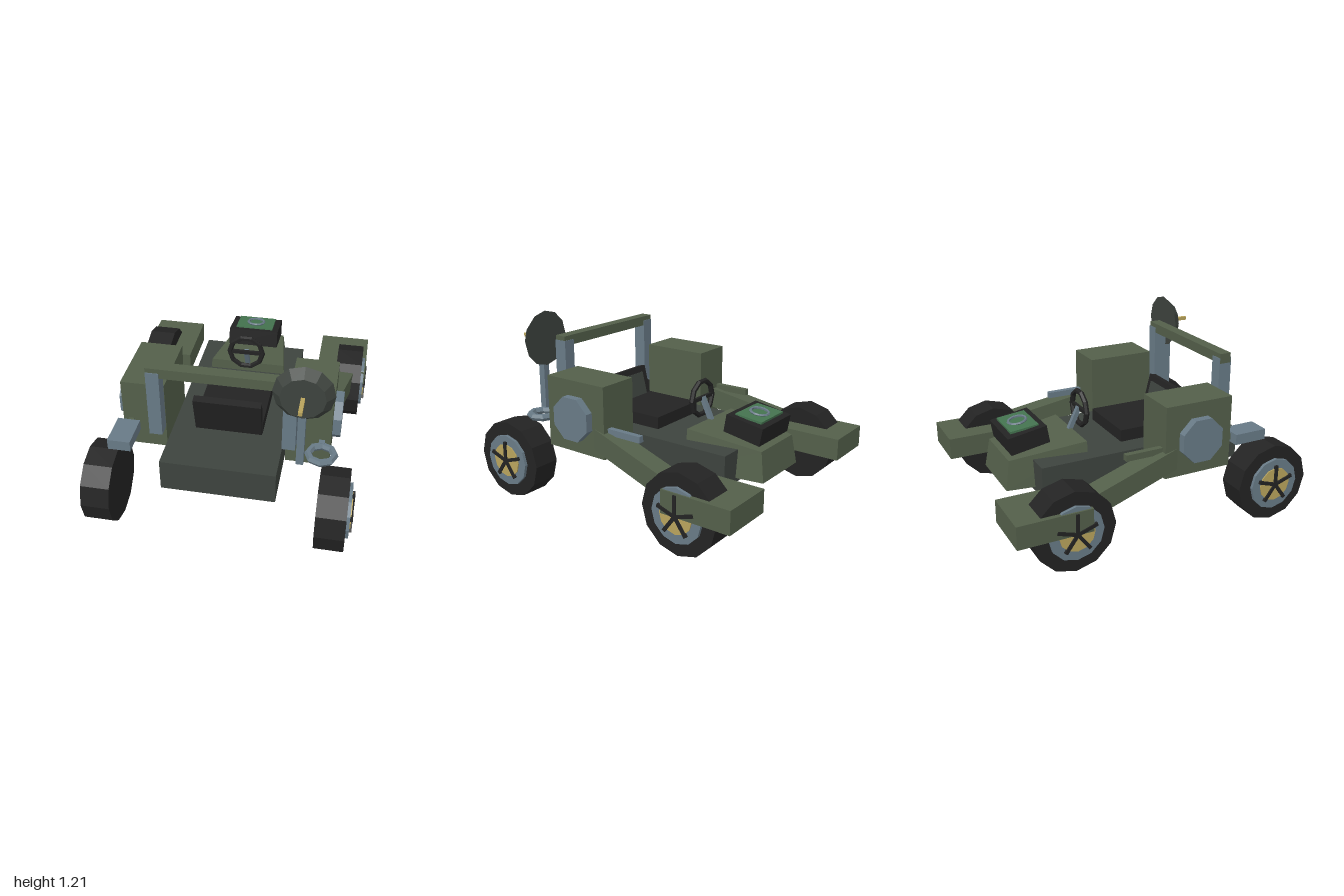
import * as THREE from 'three';

const mat = (name, color) => Object.assign(new THREE.MeshStandardMaterial({ color, flatShading: true }), { name });

export function createModel() {
  const olive = mat('olive paint', 0x535f4a);
  const dark = mat('dark grey green', 0x3d433e);
  const black = mat('black rubber', 0x232323);
  const steel = mat('blue grey steel', 0x687a86);
  const gold = mat('gold metal', 0xb8a35c);
  const green = mat('green screen', 0x44734f);

  const model = new THREE.Group();
  model.name = 'roverBuggy';

  const add = (name, geometry, material, x, y, z, parent = model) => {
    const mesh = new THREE.Mesh(geometry, material);
    mesh.name = name;
    mesh.position.set(x, y, z);
    parent.add(mesh);
    return mesh;
  };
  // Box given by its limits on each axis
  const block = (name, material, [x0, x1], [y0, y1], [z0, z1], parent) =>
    add(name, new THREE.BoxGeometry(x1 - x0, y1 - y0, z1 - z0), material,
      (x0 + x1) / 2, (y0 + y1) / 2, (z0 + z1) / 2, parent);
  // Box beam running between two points
  const beam = (name, material, from, to, w, h) => {
    const a = new THREE.Vector3(...from), b = new THREE.Vector3(...to);
    const mesh = add(name, new THREE.BoxGeometry(w, h, a.distanceTo(b)), material, 0, 0, 0);
    mesh.position.copy(a).add(b).multiplyScalar(0.5);
    mesh.lookAt(b);
    return mesh;
  };
  // Cylinder lying along x
  const disc = (name, material, r, width, sides, x, y, z, parent) =>
    add(name, new THREE.CylinderGeometry(r, r, width, sides).rotateZ(Math.PI / 2), material, x, y, z, parent);

  // Chassis
  block('chassis', dark, [-0.36, 0.36], [0.26, 0.47], [-0.66, 0.76]);

  // Tapered nose: narrower and lower toward the tip
  const noseGeo = new THREE.BoxGeometry(2, 1, 1);
  const p = noseGeo.attributes.position;
  for (let i = 0; i < p.count; i++) {
    const side = Math.sign(p.getX(i)), top = p.getY(i) > 0, tip = p.getZ(i) < 0;
    const halfWidth = tip ? (top ? 0.19 : 0.21) : (top ? 0.255 : 0.285);
    p.setXYZ(i, side * halfWidth, top ? (tip ? 0.48 : 0.54) : 0.29, tip ? (top ? -0.81 : -0.84) : -0.31);
  }
  noseGeo.computeVertexNormals();
  add('nose', noseGeo, olive, 0, 0, 0);

  // Tilted console with screen and ring
  const consoleGroup = new THREE.Group();
  consoleGroup.name = 'console';
  consoleGroup.position.set(0, 0.582, -0.665);
  consoleGroup.rotation.x = -0.17;
  model.add(consoleGroup);
  block('consoleBox', black, [-0.175, 0.175], [-0.058, 0.058], [-0.13, 0.13], consoleGroup);
  const screen = block('consoleScreen', green, [-0.132, 0.132], [0.05, 0.064], [-0.094, 0.094], consoleGroup);
  screen.position.y += 0.008;
  screen.rotation.x = 0.06;
  add('consoleRing', new THREE.TorusGeometry(0.058, 0.009, 5, 14).rotateX(Math.PI / 2), steel, 0, 0.078, 0, consoleGroup);

  // Steering wheel and column
  add('steeringWheel', new THREE.TorusGeometry(0.115, 0.018, 6, 10), black, 0, 0.667, -0.245);
  block('steeringSpoke', black, [-0.11, 0.11], [0.655, 0.679], [-0.255, -0.235]);
  beam('steeringColumn', steel, [0, 0.675, -0.25], [0, 0.5, -0.335], 0.03, 0.03);

  // Seat
  block('seatCushion', black, [-0.218, 0.218], [0.46, 0.55], [-0.05, 0.38]);
  const seatBack = new THREE.Group();
  seatBack.name = 'seatBack';
  seatBack.position.set(0, 0.47, 0.365);
  seatBack.rotation.x = 0.24;
  model.add(seatBack);
  block('backrest', black, [-0.215, 0.215], [0, 0.27], [-0.025, 0.025], seatBack);
  block('backrestPanel', dark, [-0.17, 0.17], [0.07, 0.23], [-0.034, -0.025], seatBack);

  // Wheel with rim, hub cap and five spokes; s is the side it faces
  const wheel = (name, s, z) => {
    const g = new THREE.Group();
    g.name = name;
    g.position.set(s * 0.71, 0.257, z);
    model.add(g);
    disc('tyre', black, 0.257, 0.18, 12, 0, 0, 0, g);
    disc('rim', steel, 0.172, 0.03, 12, s * 0.095, 0, 0, g);
    disc('hubCap', gold, 0.112, 0.014, 12, s * 0.11, 0, 0, g);
    for (let i = 0; i < 5; i++) {
      const spoke = add('spoke', new THREE.BoxGeometry(0.016, 0.13, 0.022).translate(0, 0.065, 0),
        black, s * 0.119, 0, 0, g);
      spoke.rotation.x = i * Math.PI * 2 / 5;
    }
  };

  for (const s of [1, -1]) {
    const side = s > 0 ? 'left' : 'right';
    const span = (a, b) => (s > 0 ? [a, b] : [-b, -a]);
    wheel(side + 'NoseWheel', s, -0.637);
    wheel(side + 'TailWheel', s, 0.743);

    // Side pod with round cover
    block(side + 'Pod', olive, span(0.38, 0.657), [0.377, 0.845], [0.027, 0.493]);
    const cover = disc(side + 'PodCover', steel, 0.15, 0.07, 8, s * 0.673, 0.607, 0.262);
    cover.rotation.x = Math.PI / 8;

    // Swing arm and wheel fender
    beam(side + 'Arm', olive, [s * 0.59, 0.5, 0.12], [s * 0.7, 0.335, -0.6], 0.13, 0.135);
    block(side + 'Fender', olive, span(0.48, 0.83), [0.252, 0.398], [-1, -0.535]);

    // Rail through the pod
    block(side + 'Rail', s > 0 ? steel : olive, span(0.585, 0.622), [0.532, 0.573], [-0.222, 0.525]);

    // Gantry post
    block(side + 'Post', steel, span(0.37, 0.452), [0.567, 1.02], [0.53, 0.617]);
  }
  block('gantryBar', olive, [-0.453, 0.45], [0.985, 1.05], [0.534, 0.611]);

  // Equipment box on one side, ring mount on the other
  block('equipmentBox', steel, [-0.683, -0.54], [0.516, 0.585], [0.525, 0.748]);
  add('ringMount', new THREE.TorusGeometry(0.08, 0.024, 6, 8).rotateX(Math.PI / 2), steel, 0.61, 0.55, 0.603);

  // Antenna dish
  block('dishPost', steel, [0.468, 0.513], [0.55, 0.92], [0.672, 0.718]);
  add('dish', new THREE.CylinderGeometry(0.133, 0.182, 0.056, 12).rotateX(Math.PI / 2), dark, 0.49, 1.03, 0.692);
  block('dishNeedle', gold, [0.478, 0.502], [1.018, 1.042], [0.71, 0.858]);

  return model;
}
